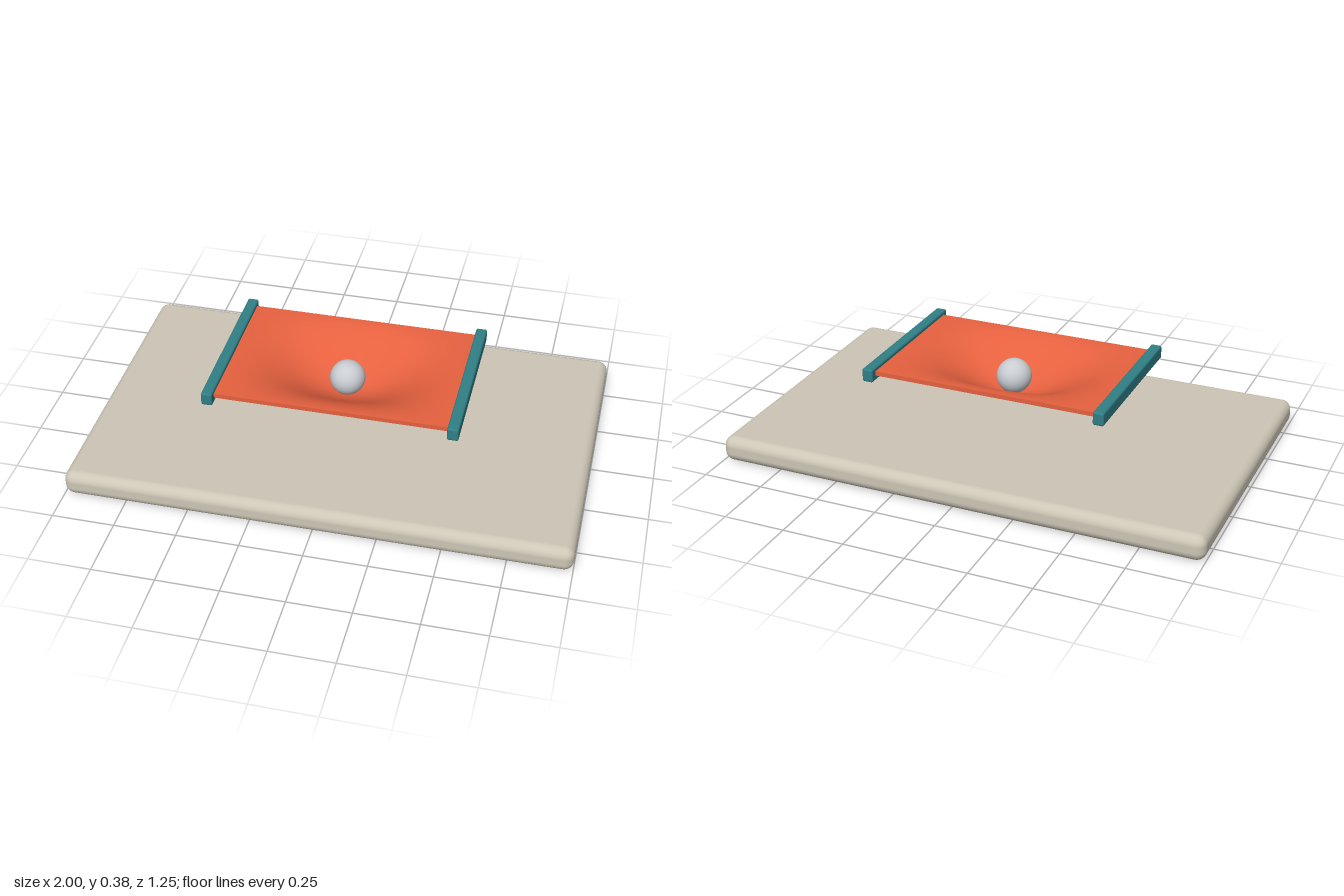
import * as THREE from 'three';
import { RoundedBoxGeometry } from 'three/addons/geometries/RoundedBoxGeometry.js';

const material = (name, color) => {
  const m = new THREE.MeshStandardMaterial({ color });
  m.name = name;
  return m;
};

// Thin slab that sags in a smooth bell towards its centre
function saggingSheet(width, thickness, depth, sag) {
  const geometry = new THREE.BoxGeometry(width, thickness, depth, 64, 1, 48);
  const p = geometry.attributes.position;
  for (let i = 0; i < p.count; i++) {
    const cx = Math.cos((Math.PI * p.getX(i)) / width);
    const cz = Math.cos((Math.PI * p.getZ(i)) / depth);
    p.setY(i, p.getY(i) - sag * cx * cx * cz * cz);
  }
  geometry.computeVertexNormals();
  return geometry;
}

export function createModel() {
  const group = new THREE.Group();
  const stone = material('warm grey', 0xcdc6b6);
  const teal = material('teal', 0x2f7f86);
  const orange = material('orange red', 0xe6613f);
  const silver = material('silver grey', 0xc9ccd1);

  const add = (name, geometry, mat, x, y, z) => {
    const mesh = new THREE.Mesh(geometry, mat);
    mesh.name = name;
    mesh.position.set(x, y, z);
    group.add(mesh);
  };

  // Rounded base slab
  add('base', new RoundedBoxGeometry(2, 0.104, 1.25, 6, 0.04), stone, 0, 0.052, 0);

  // Clamping bars at both ends of the sheet
  for (const [name, side] of [['leftBar', 1], ['rightBar', -1]]) {
    add(name, new RoundedBoxGeometry(0.045, 0.055, 0.682, 3, 0.008), teal, side * 0.485, 0.348, 0);
  }

  // Stretched sheet and the ball resting in its dip
  add('sheet', saggingSheet(0.94, 0.018, 0.625, 0.137), orange, 0, 0.351, 0);
  add('ball', new THREE.SphereGeometry(0.071, 40, 28), silver, 0, 0.294, 0);

  return group;
}
